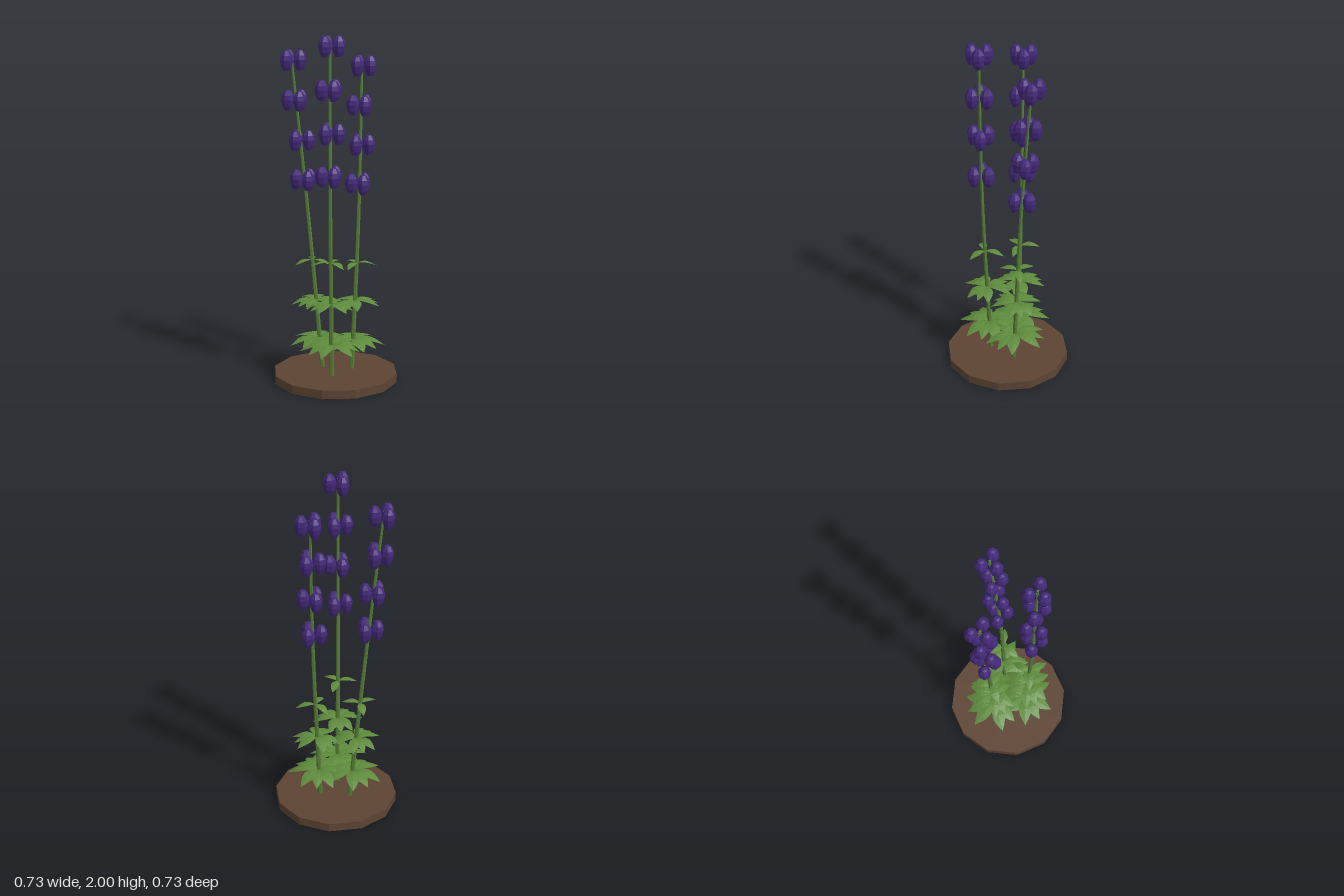
import * as THREE from 'three';

const mat = (name, color, extra = {}) => {
  const m = new THREE.MeshStandardMaterial({ color, flatShading: true, ...extra });
  m.name = name;
  return m;
};

const rad = THREE.MathUtils.degToRad;

// Tapered stem: a cylinder whose rings follow a curve
function stemGeometry(curve) {
  const g = new THREE.CylinderGeometry(0.007, 0.014, 1, 6, 12);
  const p = g.attributes.position;
  for (let i = 0; i < p.count; i++) {
    const c = curve.getPoint(p.getY(i) + 0.5);
    p.setXYZ(i, p.getX(i) + c.x, c.y, p.getZ(i) + c.z);
  }
  g.computeVertexNormals();
  return g;
}

// Arched, pointed leaflet of unit length along +x
function leafletGeometry() {
  const g = new THREE.PlaneGeometry(1, 1, 6, 2);
  g.rotateX(-Math.PI / 2);
  const widths = [0.02, 0.11, 0.18, 0.21, 0.18, 0.1, 0];
  const heights = [0, 0.06, 0.09, 0.08, 0.03, -0.05, -0.14];
  const p = g.attributes.position;
  for (let i = 0; i < p.count; i++) {
    const x = p.getX(i) + 0.5;
    const side = p.getZ(i) * 2;
    const k = Math.round(x * 6);
    p.setXYZ(i, x, heights[k] - Math.abs(side) * widths[k] * 0.12, side * widths[k]);
  }
  g.computeVertexNormals();
  return g;
}

// Closed hooded blossom
function blossomGeometry() {
  const profile = [[0, -0.056], [0.019, -0.056], [0.031, -0.032], [0.038, 0.002],
    [0.034, 0.028], [0.018, 0.054], [0, 0.059]];
  return new THREE.LatheGeometry(profile.map(([x, y]) => new THREE.Vector2(x, y)), 7);
}

export function createModel() {
  const root = new THREE.Group();
  const soil = mat('soil brown', 0x5c4433);
  const stemGreen = mat('stem green', 0x557d36);
  const leafGreen = mat('leaf green', 0x5d8a3c, { side: THREE.DoubleSide });
  const purple = mat('blossom purple', 0x44297a);

  const add = (parent, name, geo, material) => {
    const m = new THREE.Mesh(geo, material);
    m.name = name;
    parent.add(m);
    return m;
  };

  // Twelve-sided soil disc
  add(root, 'soilBase', new THREE.CylinderGeometry(0.363, 0.363, 0.05, 12), soil).position.y = 0.025;

  const leaflet = leafletGeometry();
  const blossom = blossomGeometry();
  const stalk = new THREE.CylinderGeometry(0.003, 0.003, 0.03, 5).rotateZ(Math.PI / 2).translate(0.015, 0, 0);

  // Leaf whorls, bottom to top: length and leaflet spread in degrees
  const whorls = [
    { length: 0.185, fan: [-31, 0, 31] },
    { length: 0.15, fan: [-27, 0, 27] },
    { length: 0.125, fan: [0] },
  ];

  const plants = [
    { name: 'tallSpike', path: [[-0.05, 0.03, 0.087], [-0.07, 1, 0.125], [-0.075, 1.97, 0.137]],
      leafY: [0.235, 0.48, 0.725], leafTurn: [157, 165, 190], top: 1.941, step: 0.24 },
    { name: 'leaningSpike', path: [[-0.05, 0.03, -0.087], [-0.125, 1, -0.135], [-0.205, 1.875, -0.175]],
      leafY: [0.225, 0.455, 0.69], leafTurn: [142, 155, 45], top: 1.845, step: 0.227 },
    { name: 'sideSpike', path: [[0.1, 0.03, 0], [0.148, 1, -0.02], [0.18, 1.84, -0.067]],
      leafY: [0.225, 0.455, 0.68], leafTurn: [58, 10, 15], top: 1.812, step: 0.223 },
  ];

  for (const plant of plants) {
    const group = new THREE.Group();
    group.name = plant.name;
    root.add(group);
    const curve = new THREE.CatmullRomCurve3(plant.path.map((p) => new THREE.Vector3(...p)));
    add(group, 'stem', stemGeometry(curve), stemGreen);

    // Point on the stem at a given height
    const at = (y) => {
      let lo = 0, hi = 1;
      for (let i = 0; i < 24; i++) {
        const mid = (lo + hi) / 2;
        if (curve.getPoint(mid).y < y) lo = mid; else hi = mid;
      }
      return curve.getPoint(lo);
    };

    // Three leaves in every whorl
    whorls.forEach(({ length, fan }, i) => {
      for (let k = 0; k < 3; k++) {
        for (const spread of fan) {
          const leaf = add(group, 'leaflet', leaflet, leafGreen);
          leaf.position.copy(at(plant.leafY[i]));
          leaf.rotation.y = -rad(plant.leafTurn[i] + k * 120 + spread);
          leaf.scale.setScalar(length * (spread ? 1 : 0.93));
        }
      }
    });

    // Four tiers of three blossoms, alternate tiers turned by 60 degrees
    for (let tier = 0; tier < 4; tier++) {
      const c = at(plant.top - tier * plant.step);
      for (let k = 0; k < 3; k++) {
        const a = rad(23 + k * 120 + (tier % 2) * 60);
        const s = add(group, 'blossomStalk', stalk, stemGreen);
        s.position.copy(c);
        s.rotation.y = -a;
        const b = add(group, 'blossom', blossom, purple);
        b.position.set(c.x + Math.cos(a) * 0.047, c.y, c.z + Math.sin(a) * 0.047);
        b.rotation.y = -a;
      }
    }
  }
  return root;
}
